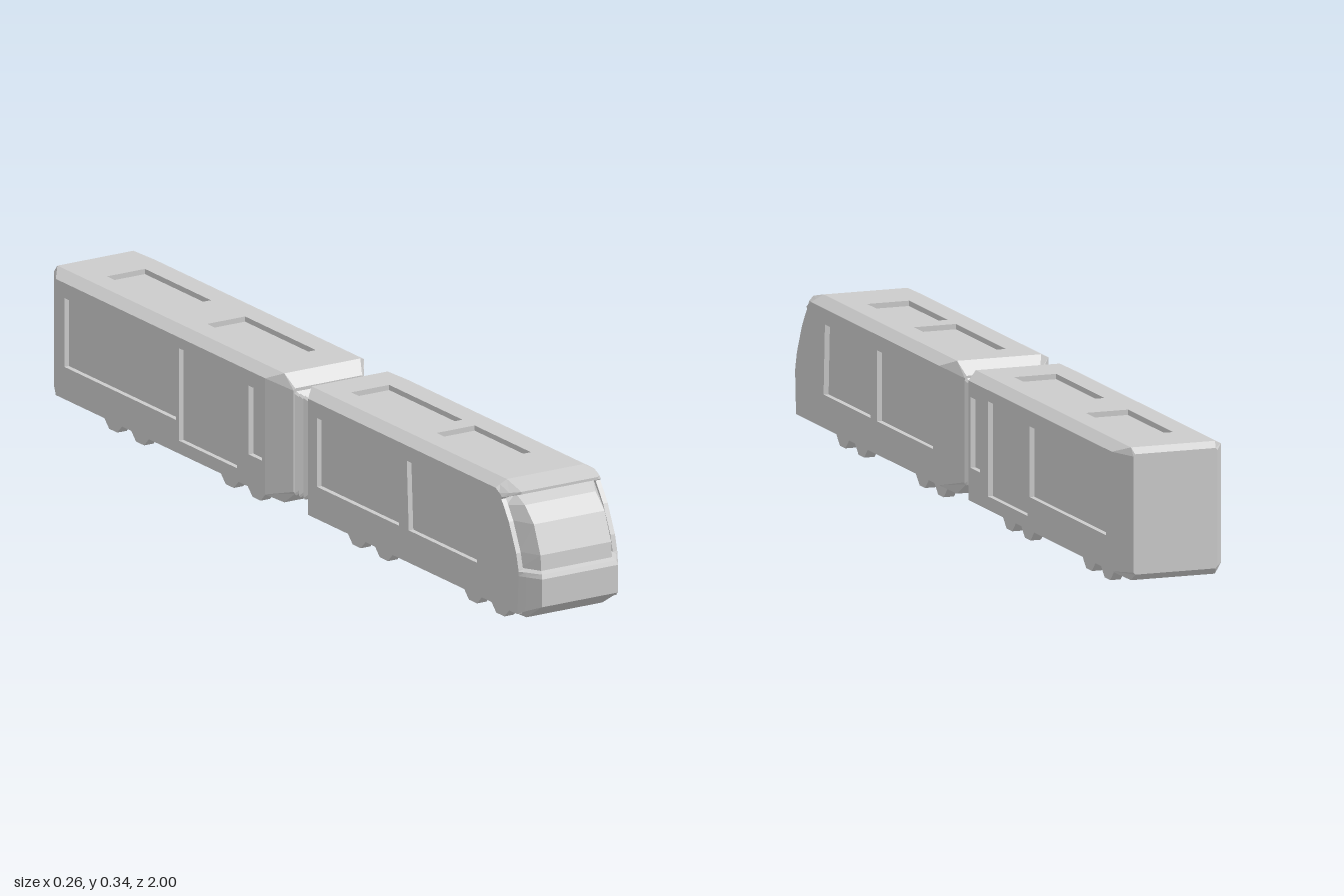
import * as THREE from 'three';

const mat = new THREE.MeshStandardMaterial({ color: 0xcccccc, flatShading: true, side: THREE.DoubleSide });
const DEPTH = 0.012; // depth of the window recesses

function add(parent, name, geo) {
  const m = new THREE.Mesh(geo, mat);
  m.name = name;
  parent.add(m);
  return m;
}

// Skin between successive rows of points
function loft(rows, closed = false) {
  const pos = [];
  for (let i = 0; i < rows.length - 1; i++) {
    const n = rows[i].length;
    for (let j = 0; j < (closed ? n : n - 1); j++) {
      const k = (j + 1) % n;
      const a = rows[i][j], b = rows[i][k], c = rows[i + 1][k], d = rows[i + 1][j];
      pos.push(...a, ...b, ...c, ...a, ...c, ...d);
    }
  }
  const g = new THREE.BufferGeometry();
  g.setAttribute('position', new THREE.Float32BufferAttribute(pos, 3));
  g.computeVertexNormals();
  return g;
}

const mirror = ([x, y, z]) => [-x, y, z];
const fullRing = half => [...half, ...half.map(mirror).reverse()];
// Body section: roof and floor edges at zc, side edges at zs
const bodyRing = (zc, zs) => fullRing([[0.1, 0.335, zc], [0.13, 0.32, zs], [0.13, 0.05, zs], [0.1, 0.035, zc]]);
const endRing = (w, top, bottom, z) =>
  fullRing([[w - 0.004, top, z], [w, top - 0.005, z], [w, bottom + 0.005, z], [w - 0.004, bottom, z]]);
const capRing = z => Array(8).fill([0, 0.18, z]);

// Flat panel with recessed openings
function panel(name, outline, holes) {
  const group = new THREE.Group();
  group.name = name;
  const toShape = pts => new THREE.Shape(pts.map(p => new THREE.Vector2(...p)));
  const shape = toShape(outline);
  shape.holes = holes.map(toShape);
  add(group, 'frame', new THREE.ExtrudeGeometry(shape, { depth: DEPTH, bevelEnabled: false }));
  for (const h of holes) add(group, 'recessedPane', new THREE.ShapeGeometry(toShape(h)));
  return group;
}

const rect = (a, b, lo, hi, skew = 0) => [[a, lo], [b, lo], [b - skew, hi], [a - skew, hi]];

// Side walls, roof, shoulders and floor. Outline and windows are in (z, y).
function carShell(car, { outline, windows, hatches, front, back }) {
  for (const s of [1, -1]) {
    const map = pts => pts.map(([z, y]) => [-s * z, y]);
    const wall = panel(s > 0 ? 'leftWall' : 'rightWall', map(outline), windows.map(map));
    wall.rotation.y = s * Math.PI / 2;
    wall.position.x = s * (0.13 - DEPTH);
    car.add(wall);
  }
  const roof = panel('roof', rect(-0.1, 0.1, -front.roof, -back.c),
    hatches.map(([a, b]) => rect(-0.05, 0.05, -a, -b)));
  roof.rotation.x = -Math.PI / 2;
  roof.position.y = 0.335 - DEPTH;
  car.add(roof);

  const shoulder = (zc, zs) => [[0.1, 0.335, zc], [0.13, 0.32, zs]];
  const r0 = shoulder(front.roof, front.roofSide), r1 = shoulder(back.c, back.s);
  add(car, 'leftShoulder', loft([r0, r1]));
  add(car, 'rightShoulder', loft([r0, r1].map(r => r.map(mirror).reverse())));
  const floor = (zc, zs) => [[0.13, 0.05, zs], [0.1, 0.035, zc], [-0.1, 0.035, zc], [-0.13, 0.05, zs]];
  add(car, 'floor', loft([floor(front.floor, front.floorSide), floor(back.c, back.s)]));
}

function addWheels(car, zs) {
  for (const z of zs) for (const x of [-0.066, 0.066]) {
    const g = new THREE.CylinderGeometry(0.0433, 0.0433, 0.025, 8);
    g.rotateY(Math.PI / 8).rotateZ(Math.PI / 2);
    add(car, 'wheel', g).position.set(x, 0.04, z);
  }
}

function frontCar() {
  const car = new THREE.Group();
  car.name = 'frontCar';
  // Nose rows from floor to roof: windscreen edge, pillar, side wall
  const rows = [
    [[0.1, 0.035, 0.935], [0.118, 0.044, 0.914], [0.13, 0.05, 0.9]],
    [[0.1, 0.075, 0.998], [0.12, 0.06, 0.963], [0.13, 0.05, 0.945]],
    [[0.1, 0.14, 1], [0.12, 0.14, 0.967], [0.13, 0.14, 0.95]],
    [[0.098, 0.15, 0.996], [0.12, 0.15, 0.962], [0.13, 0.15, 0.95]],
    [[0.093, 0.155, 0.985], [0.118, 0.155, 0.94], [0.13, 0.155, 0.949]],
    [[0.093, 0.19, 0.982], [0.118, 0.19, 0.932], [0.13, 0.19, 0.94]],
    [[0.093, 0.255, 0.955], [0.118, 0.255, 0.9], [0.13, 0.255, 0.91]],
    [[0.093, 0.29, 0.918], [0.118, 0.285, 0.882], [0.13, 0.285, 0.89]],
    [[0.093, 0.308, 0.88], [0.118, 0.303, 0.868], [0.13, 0.3, 0.879]],
    [[0.1, 0.315, 0.915], [0.118, 0.309, 0.897], [0.13, 0.305, 0.882]],
    [[0.1, 0.321, 0.915], [0.118, 0.316, 0.894], [0.13, 0.312, 0.872]],
    [[0.1, 0.335, 0.855], [0.118, 0.326, 0.855], [0.13, 0.32, 0.855]],
  ];
  const grid = rows.map(r => [...r.map(mirror).reverse(), ...r]);
  add(car, 'lowerNose', loft(grid.slice(0, 5)));
  add(car, 'windscreen', loft(grid.slice(4, 9)));
  add(car, 'visor', loft(grid.slice(8)));

  carShell(car, {
    outline: [[0.088, 0.05], ...rows.map(r => [r[2][2], r[2][1]]), [0.088, 0.32]],
    windows: [rect(0.5, 0.78, 0.125, 0.285, 0.008), rect(0.125, 0.46, 0.125, 0.285)],
    hatches: [[0.72, 0.49], [0.44, 0.14]],
    front: { roof: 0.855, roofSide: 0.855, floor: 0.935, floorSide: 0.9 },
    back: { c: 0.056, s: 0.088 },
  });
  add(car, 'innerEnd', loft([bodyRing(0.056, 0.088), endRing(0.092, 0.305, 0.06, 0.03), capRing(0.03)], true));
  addWheels(car, [0.795, 0.683, 0.318, 0.207]);
  return car;
}

function rearCar() {
  const car = new THREE.Group();
  car.name = 'rearCar';
  carShell(car, {
    outline: rect(-0.945, -0.088, 0.05, 0.32),
    windows: [
      rect(-0.155, -0.1, 0.125, 0.285),
      rect(-0.44, -0.203, 0.08, 0.295),
      rect(-0.91, -0.452, 0.125, 0.285),
    ],
    hatches: [[-0.16, -0.45], [-0.59, -0.86]],
    front: { roof: -0.056, roofSide: -0.088, floor: -0.056, floorSide: -0.088 },
    back: { c: -0.985, s: -0.945 },
  });
  add(car, 'innerEnd', loft([capRing(-0.03), endRing(0.092, 0.305, 0.06, -0.03), bodyRing(-0.056, -0.088)], true));
  add(car, 'tailEnd', loft([bodyRing(-0.985, -0.945), endRing(0.1, 0.322, 0.05, -1), capRing(-1)], true));
  addWheels(car, [-0.203, -0.313, -0.68, -0.79]);
  return car;
}

export function createModel() {
  const model = new THREE.Group();
  model.name = 'tram';
  model.add(frontCar(), rearCar());
  // Pleated gangway between the two cars
  const pleats = [0.03, 0.018, 0.009, 0, -0.009, -0.018, -0.03].map((z, i) => {
    const inset = i % 2 ? 0 : 0.012;
    return endRing(0.097 - inset, 0.302 - inset, 0.06 + inset, z);
  });
  add(model, 'gangwayBellows', loft(pleats, true));
  return model;
}
